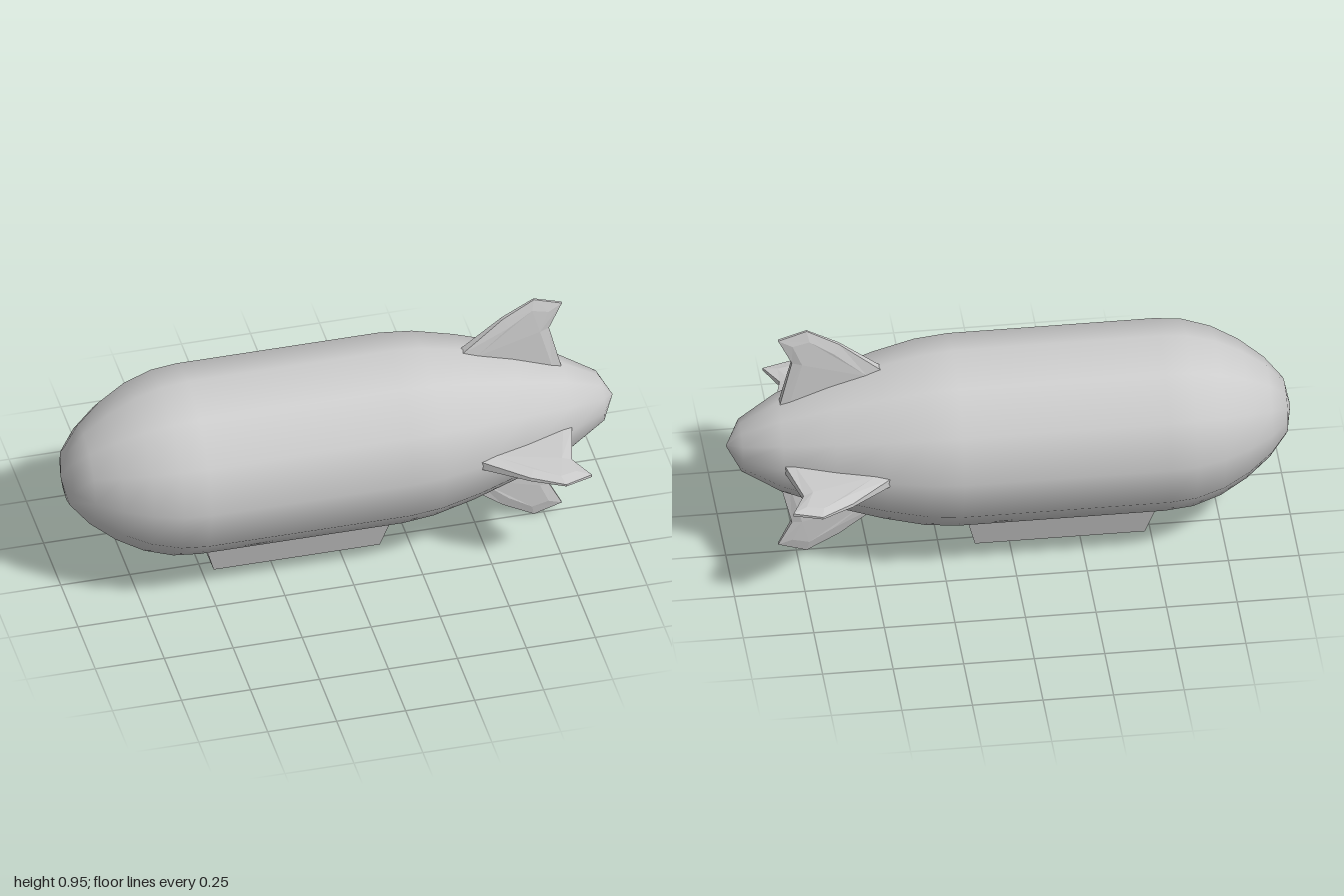
import * as THREE from 'three';

const AXIS_Y = 0.476;
const smooth = new THREE.MeshStandardMaterial({ color: 0xcccccc });
const flat = new THREE.MeshStandardMaterial({ color: 0xcccccc, flatShading: true });

// Skins a stack of closed rings and caps both ends; outline is the
// counter-clockwise 2D shape of the first ring, used to triangulate the caps.
function loft(rings, outline) {
  const pos = [];
  const tri = (...pts) => pts.forEach((p) => pos.push(...p));
  const n = outline.length;
  for (let k = 0; k < rings.length - 1; k++) {
    for (let i = 0; i < n; i++) {
      const j = (i + 1) % n;
      const a = rings[k][i], b = rings[k][j], c = rings[k + 1][i], d = rings[k + 1][j];
      tri(a, c, d);
      tri(a, d, b);
    }
  }
  const first = rings[0], last = rings[rings.length - 1];
  const shape = outline.map(([u, v]) => new THREE.Vector2(u, v));
  for (const [a, b, c] of THREE.ShapeUtils.triangulateShape(shape, [])) {
    tri(first[a], first[b], first[c]);
    tri(last[a], last[c], last[b]);
  }
  const geo = new THREE.BufferGeometry();
  geo.setAttribute('position', new THREE.Float32BufferAttribute(pos, 3));
  geo.computeVertexNormals();
  return geo;
}

function add(parent, name, geometry, material) {
  const mesh = new THREE.Mesh(geometry, material);
  mesh.name = name;
  parent.add(mesh);
  return mesh;
}

// Twelve-sided envelope, turned about the long axis
function hullGeometry() {
  const profile = [
    [-1, 0], [-0.98, 0.1], [-0.917, 0.177], [-0.83, 0.247], [-0.735, 0.3],
    [-0.634, 0.332], [-0.537, 0.341], [0.195, 0.341], [0.313, 0.33], [0.46, 0.296],
    [0.634, 0.243], [0.815, 0.174], [0.95, 0.093], [1, 0],
  ].map(([x, r]) => new THREE.Vector2(r, x));
  return new THREE.LatheGeometry(profile, 12).rotateZ(-Math.PI / 2);
}

// Swept fin: a thick inset face on each side, bevelled to a thinner rim
function finGeometry() {
  // rim x, rim radius, rim half thickness, face x, face radius, face half thickness
  const rows = [
    [0.45, 0.29, 0.016, 0.5, 0.272, 0.021],
    [0.81, 0.172, 0.016, 0.775, 0.184, 0.02],
    [0.767, 0.345, 0.01, 0.732, 0.34, 0.02],
    [0.815, 0.441, 0.005, 0.765, 0.418, 0.014],
    [0.714, 0.474, 0.004, 0.705, 0.433, 0.014],
    [0.6, 0.41, 0.007, 0.62, 0.377, 0.018],
  ];
  const face = (s) => rows.map((r) => [r[3], r[4], s * r[5]]);
  const rim = (s) => rows.map((r) => [r[0], r[1], s * r[2]]);
  return loft([face(1), rim(1), rim(-1), face(-1)], rows.map((r) => [r[3], r[4]]));
}

// Cabin with a shallow keel and sloping ends
function gondolaGeometry() {
  // z, y, then x at each end
  const rows = [
    [0, 0.025, -0.465, 0.123],
    [0.105, 0.05, -0.472, 0.13],
    [0.14, 0.163, -0.505, 0.158],
    [0, 0.19, -0.505, 0.158],
    [-0.14, 0.163, -0.505, 0.158],
    [-0.105, 0.05, -0.472, 0.13],
  ];
  const end = (k) => rows.map((r) => [r[k], r[1], r[0]]);
  return loft([end(2), end(3)], rows);
}

export function createModel() {
  const model = new THREE.Group();
  model.name = 'airship';

  add(model, 'hull', hullGeometry(), smooth).position.y = AXIS_Y;

  // Four fins in a cross around the tail
  const fin = finGeometry();
  ['topFin', 'frontFin', 'bottomFin', 'backFin'].forEach((name, i) => {
    const mesh = add(model, name, fin, flat);
    mesh.position.y = AXIS_Y;
    mesh.rotation.x = (i * Math.PI) / 2;
  });

  add(model, 'gondola', gondolaGeometry(), flat);
  return model;
}
